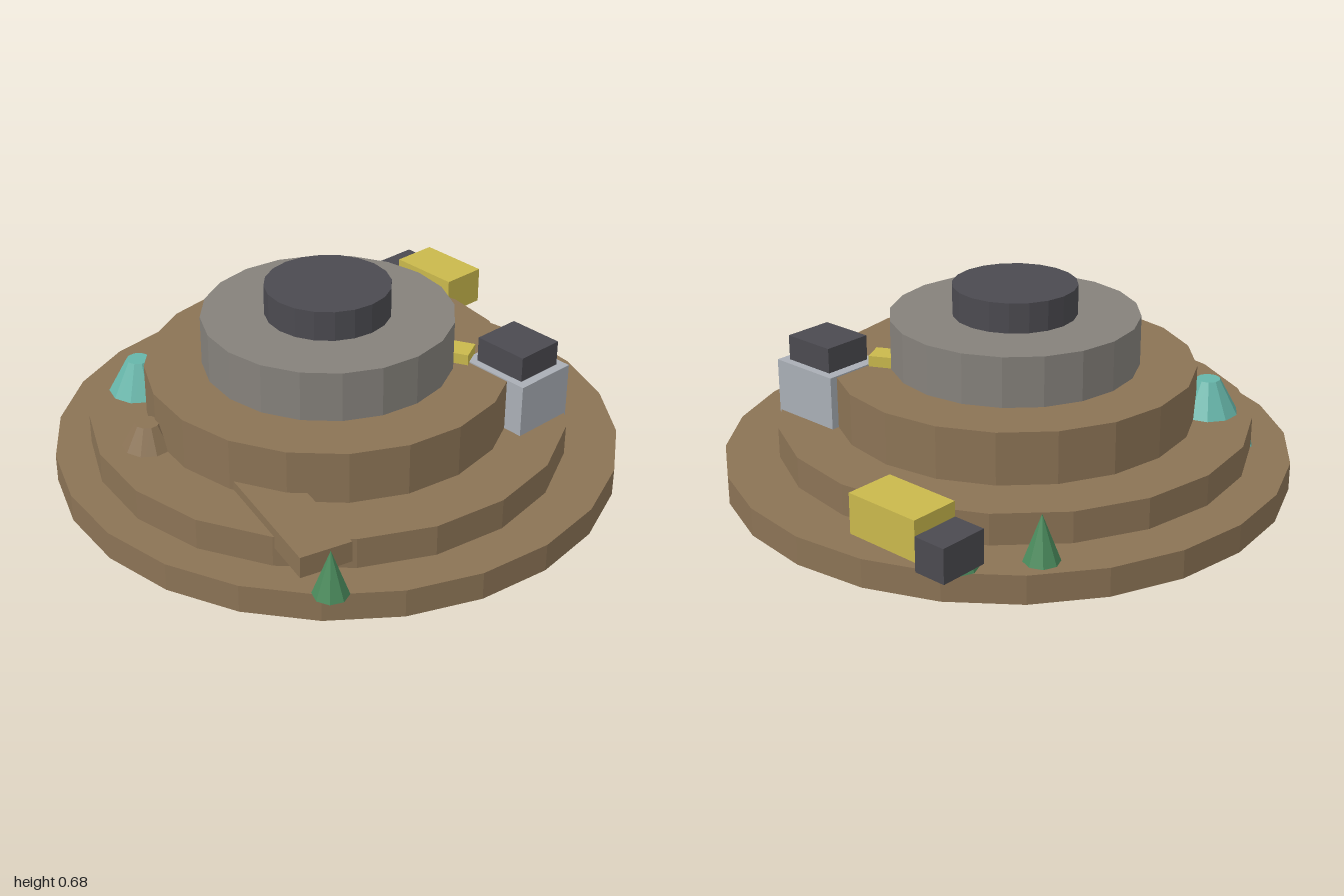
import * as THREE from 'three';

const flat = (name, color) => {
  const m = new THREE.MeshStandardMaterial({ color, flatShading: true });
  m.name = name;
  return m;
};

export function createModel() {
  const group = new THREE.Group();
  const earth = flat('earth brown', 0x8b7355);
  const stone = flat('stone grey', 0x85817b);
  const dark = flat('dark grey', 0x4b4a50);
  const silver = flat('light grey', 0xa9aeb5);
  const yellow = flat('machine yellow', 0xc9b84c);
  const teal = flat('ore teal', 0x66b5a9);
  const green = flat('tree green', 0x4a8a5c);

  const add = (name, geometry, material, x, y, z, turn = 0) => {
    const mesh = new THREE.Mesh(geometry, material);
    mesh.name = name;
    mesh.position.set(x, y, z);
    mesh.rotation.y = turn;
    group.add(mesh);
  };
  // Cylinder or cone between two heights
  const round = (name, mat, rTop, rBottom, y0, y1, x, z, sides) =>
    add(name, new THREE.CylinderGeometry(rTop, rBottom, y1 - y0, sides), mat, x, (y0 + y1) / 2, z);
  // Box given by its limits on each axis
  const box = (name, mat, [x0, x1], [y0, y1], [z0, z1]) =>
    add(name, new THREE.BoxGeometry(x1 - x0, y1 - y0, z1 - z0), mat,
      (x0 + x1) / 2, (y0 + y1) / 2, (z0 + z1) / 2);
  // Turned box whose outer end is centred on (x, z)
  const arm = (name, mat, x, z, y0, y1, length, width, turn) =>
    add(name, new THREE.BoxGeometry(length, y1 - y0, width), mat,
      x - Math.cos(turn) * length / 2, (y0 + y1) / 2, z + Math.sin(turn) * length / 2, turn);

  // Stepped hill
  round('groundDisc', earth, 1, 1, 0, 0.1, 0, 0, 24);
  round('lowerTerrace', earth, 0.84, 0.84, 0.1, 0.21, 0, 0.04, 20);
  round('upperTerrace', earth, 0.64, 0.64, 0.21, 0.395, 0, 0.04, 20);
  round('stoneTerrace', stone, 0.44, 0.44, 0.395, 0.573, 0, 0.04, 20);
  round('summit', dark, 0.22, 0.22, 0.573, 0.68, 0, 0.04, 20);

  // Ramp and mounds
  arm('ramp', earth, 0.69, 0.671, 0.168, 0.243, 0.54, 0.18, -0.248);
  round('oreMound', teal, 0.042, 0.17, 0.1, 0.332, -0.525, 0.478, 10);
  round('earthMound', earth, 0.042, 0.152, 0.1, 0.294, -0.203, 0.678, 10);

  // Building with its roof unit and chute
  box('building', silver, [0.342, 0.615], [0.2, 0.4], [-0.524, -0.288]);
  box('roofUnit', dark, [0.38, 0.583], [0.4, 0.49], [-0.495, -0.315]);
  arm('chute', yellow, 0.356, -0.31, 0.385, 0.434, 0.25, 0.088, 0.47);

  // Truck
  box('truckBed', yellow, [-0.503, -0.225], [0.178, 0.317], [-0.973, -0.8]);
  box('truckCab', dark, [-0.62, -0.503], [0.147, 0.265], [-0.973, -0.8]);

  // Trees
  for (const [x, z] of [[0.72, 0.68], [-0.68, -0.605], [-0.52, -0.8]])
    add('tree', new THREE.ConeGeometry(0.06, 0.16, 8), green, x, 0.18, z);

  return group;
}
